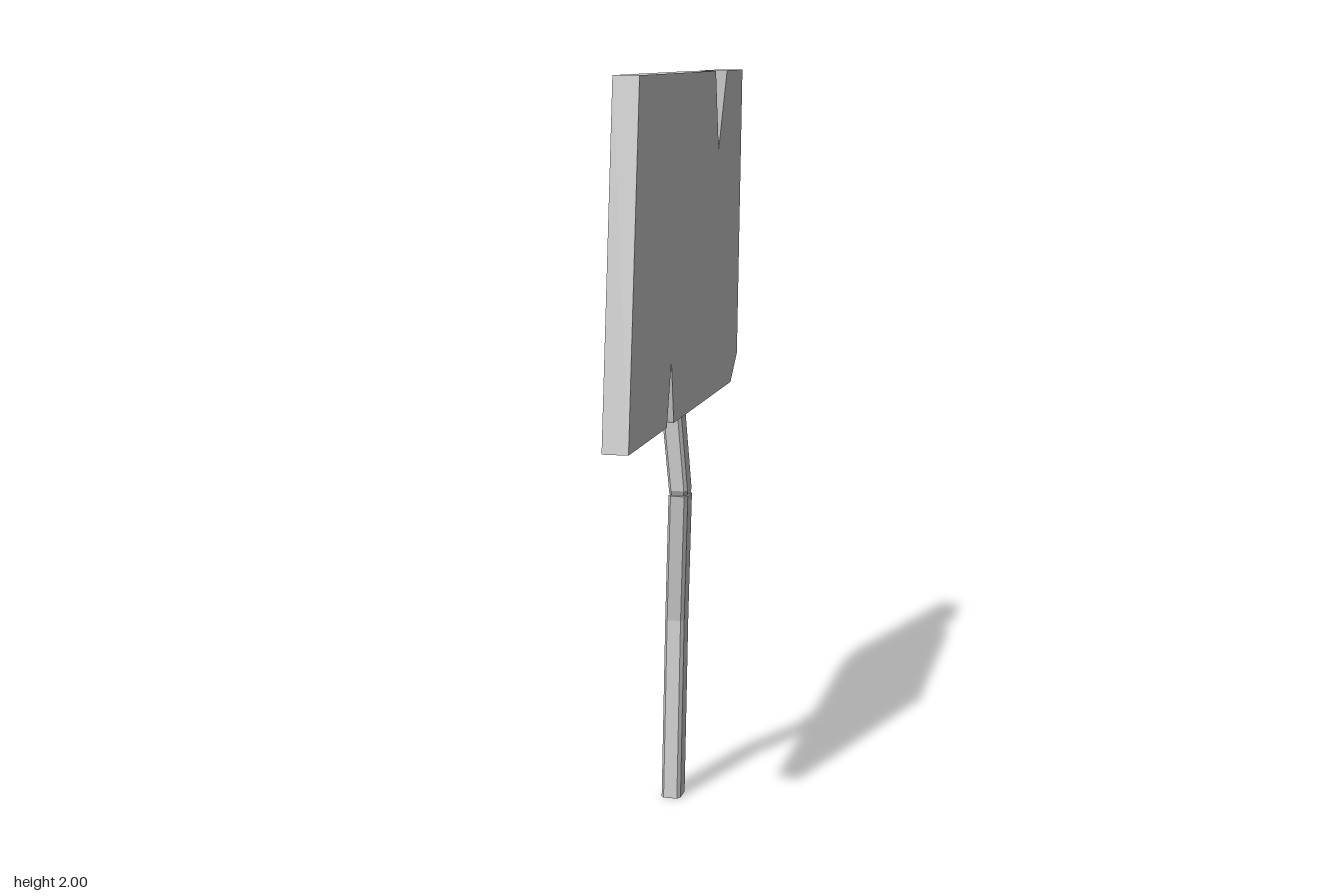
import * as THREE from 'three';

const material = new THREE.MeshStandardMaterial({ color: 0xcccccc, flatShading: true });

// Joins matching counter-clockwise outlines [u, v] into a closed solid; place(u, v, i) puts them in space.
function loft(name, outlines, place) {
  const positions = [];
  const n = outlines[0].length;
  const rings = outlines.map((o, i) => o.map(([u, v]) => place(u, v, i)));
  const tri = (...pts) => pts.forEach((p) => positions.push(...p));

  for (let r = 0; r < rings.length - 1; r++) {
    for (let i = 0; i < n; i++) {
      const j = (i + 1) % n;
      tri(rings[r][i], rings[r][j], rings[r + 1][j]);
      tri(rings[r][i], rings[r + 1][j], rings[r + 1][i]);
    }
  }
  // End caps
  for (const r of [0, rings.length - 1]) {
    const pts = outlines[r].map(([u, v]) => new THREE.Vector2(u, v));
    for (const [a, b, c] of THREE.ShapeUtils.triangulateShape(pts.slice(), [])) {
      const ccw = THREE.ShapeUtils.area([pts[a], pts[b], pts[c]]) > 0;
      if (ccw === (r > 0)) tri(rings[r][a], rings[r][b], rings[r][c]);
      else tri(rings[r][a], rings[r][c], rings[r][b]);
    }
  }
  const geometry = new THREE.BufferGeometry();
  geometry.setAttribute('position', new THREE.Float32BufferAttribute(positions, 3));
  geometry.computeVertexNormals();
  const mesh = new THREE.Mesh(geometry, material);
  mesh.name = name;
  return mesh;
}

// Board outline as [y, z]; only the depth of the two splits changes through the thickness
function boardOutline(topEdge, topTip, bottomEdge, bottomTip) {
  return [
    [1.085, -0.54], [1.16, -0.635], [2, -0.7],
    [2, topEdge], topTip, [2, -0.32],
    [2, 0.575], [1.085, 0.7],
    [1.085, bottomEdge], bottomTip, [1.085, 0.21],
  ];
}

// Bevelled post section as [z, x]
function postSection(z, x, hz = 0.037, hx = 0.027) {
  const bz = 0.011, bx = 0.008;
  return [
    [hz, -hx + bx], [hz, hx - bx], [hz - bz, hx], [-hz + bz, hx],
    [-hz, hx - bx], [-hz, -hx + bx], [-hz + bz, -hx], [hz - bz, -hx],
  ].map(([a, b]) => [z + a, x + b]);
}

// Post piece through levels [y, z, x, half depth, half width]
function postPiece(name, levels) {
  return loft(name, levels.map(([, ...s]) => postSection(...s)), (z, x, i) => [x, levels[i][0], z]);
}

export function createModel() {
  const model = new THREE.Group();
  model.name = 'signpost';

  // Weathered board with a split in its top and bottom edges
  const faces = [-0.041, 0.027];
  model.add(loft('board', [
    boardOutline(-0.415, [1.87, -0.365], 0.245, [1.135, 0.225]),
    boardOutline(-0.475, [1.78, -0.36], 0.29, [1.255, 0.235]),
  ], (y, z, i) => [faces[i], y, z]));

  // Crooked post, cracked below the board
  const post = new THREE.Group();
  post.name = 'post';
  post.add(
    postPiece('lowerPost', [
      [0, 0.05, -0.012],
      [0.5, 0.008, -0.011],
      [0.86, 0.048, 0.008],
    ]),
    postPiece('upperPost', [
      [0.858, 0.044, 0.007, 0.032, 0.024],
      [0.875, 0.048, 0.008, 0.036, 0.026],
      [1.1, 0.05, -0.011],
    ]),
  );
  model.add(post);
  return model;
}
